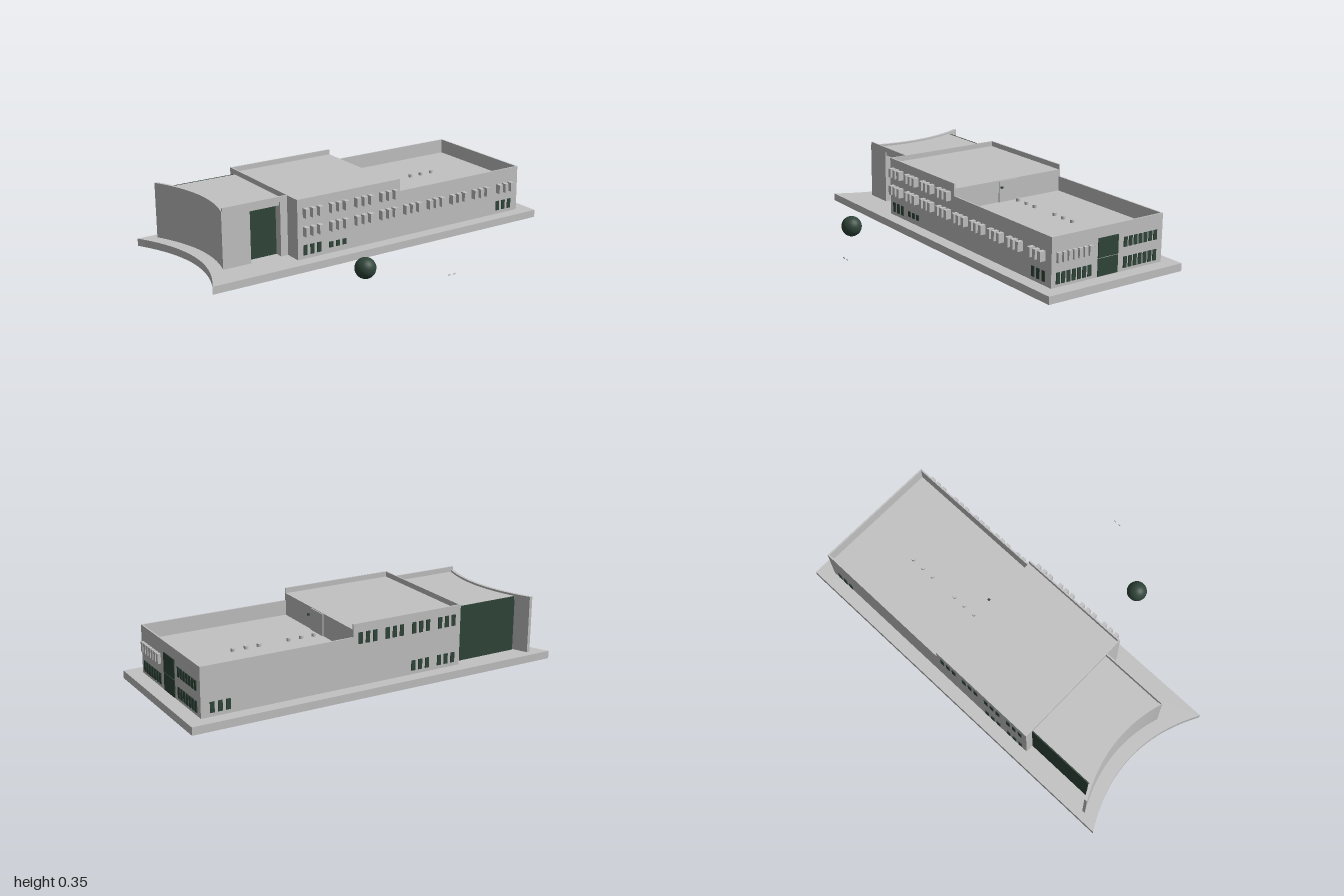
import * as THREE from 'three';

export function createModel() {
  const model = new THREE.Group();
  const concrete = new THREE.MeshStandardMaterial({ color: 0xc2c2c2 });
  concrete.name = 'pale concrete';
  const glass = new THREE.MeshStandardMaterial({ color: 0x30453a });
  glass.name = 'dark green glass';

  function add(name, geo, mat) {
    const mesh = new THREE.Mesh(geo, mat);
    mesh.name = name;
    model.add(mesh);
    return mesh;
  }
  // Box given by its extents on each axis
  function box(name, mat, x0, x1, y0, y1, z0, z1) {
    const mesh = add(name, new THREE.BoxGeometry(x1 - x0, y1 - y0, z1 - z0), mat);
    mesh.position.set((x0 + x1) / 2, (y0 + y1) / 2, (z0 + z1) / 2);
    return mesh;
  }
  // Curved line bulging towards +x, sampled along z
  function arc(x0, zA, zB) {
    const pts = [];
    for (let i = 0; i <= 20; i++) {
      const z = zA + ((zB - zA) * i) / 20;
      pts.push(new THREE.Vector2(x0 - 0.71 * (z + 0.245) ** 2, z));
    }
    return pts;
  }
  // Plan outline (x, z) raised between two heights
  function raise(name, mat, pts, y0, y1) {
    const geo = new THREE.ExtrudeGeometry(new THREE.Shape(pts), { depth: y1 - y0, bevelEnabled: false });
    geo.rotateX(Math.PI / 2);
    geo.translate(0, y1, 0);
    return add(name, geo, mat);
  }
  const V = (x, z) => new THREE.Vector2(x, z);

  // Base plate with a concave end
  raise('basePlate', concrete, [...arc(-0.877, -0.655, 0.155), V(1, 0.155), V(1, -0.655)], 0, 0.04);

  // Main building: lower hall and taller block
  const L = -0.48, M = 0.135, R = 0.925, F = 0.085, B = -0.588, T = 0.008;
  const base = 0.04, lowRoof = 0.21, lowTop = 0.287, highRoof = 0.325, highTop = 0.352;
  box('lowerHall', concrete, M, R, base, lowRoof, B, F);
  box('tallBlock', concrete, L, M, base, highRoof, B, F);
  box('lowerParapetFront', concrete, M, R, lowRoof, lowTop, F - T, F);
  box('lowerParapetBack', concrete, M, R, lowRoof, lowTop, B, B + T);
  box('lowerParapetEnd', concrete, R - T, R, lowRoof, lowTop, B + T, F - T);
  box('upperParapetFront', concrete, L, M, highRoof, highTop, F - T, F);
  box('upperParapetBack', concrete, L, M, highRoof, highTop, B, B + T);
  box('upperParapetEnd', concrete, L, L + T, highRoof, highTop, B + T, F - T);
  box('roofDoor', concrete, M, M + 0.006, lowRoof, 0.322, -0.31, -0.19);
  box('roofDoorLamp', glass, M + 0.015, M + 0.025, 0.287, 0.297, -0.2, -0.19);

  // Roof vents
  for (const x of [0.176, 0.246, 0.315, 0.476, 0.545, 0.615]) {
    const vent = add('roofVent', new THREE.CylinderGeometry(0.011, 0.011, 0.016, 16), concrete);
    vent.position.set(x, lowRoof + 0.008, -0.285);
  }

  // Entrance wing with the curved end wall
  const wingF = -0.01, wingB = -0.54;
  raise('curvedWall', concrete,
    [...arc(-0.806, -0.615, wingF), ...arc(-0.79, -0.615, wingF).reverse()], base, 0.335);
  raise('wingRoof', concrete, [...arc(-0.795, wingB, wingF - T), V(L, wingF - T), V(L, wingB)], 0.305, highRoof);
  raise('wingFrontWall', concrete,
    [V(-0.84, wingF), V(-0.69, wingF), V(-0.69, -0.055), V(-0.825, -0.055)], base, highRoof);
  box('wingPier', concrete, -0.52, L, base, highRoof, -0.055, wingF);
  box('wingFrontParapet', concrete, -0.84, L, highRoof, highTop, wingF - T, wingF);
  box('wingFrontGlass', glass, -0.69, -0.52, base, highRoof - 0.001, -0.063, -0.055);
  box('wingBackGlass', glass, -0.846, L, base, highRoof + 0.001, wingB - 0.006, wingB);

  // Front and back windows in groups of three
  const groups = [0, 1, 2, 3, 4, 5, 6, 7].map((i) => -0.449 + 0.151 * i).concat(0.778);
  const P = 0.004;
  groups.forEach((start, g) => {
    for (let i = 0; i < 3; i++) {
      const x0 = start + i * 0.04, x1 = x0 + 0.022;
      box('frontBay', concrete, x0, x1, 0.161, 0.21, F, F + 0.031);
      if (g < 4) {
        box('frontUpperBay', concrete, x0, x1, 0.257, 0.305, F, F + 0.031);
        box('backUpperWindow', glass, x0, x1, 0.25, 0.307, B - P, B);
      }
      if (g < 2 || g === 8) {
        box('frontGroundWindow', glass, x0, x1, g === 1 ? 0.07 : 0.06, g === 1 ? 0.1 : 0.112, F, F + P);
        box('backGroundWindow', glass, x0, x1, 0.06, 0.112, B - P, B);
      }
    }
  });

  // End facade: two rows of seven each side of the tall glazed door
  for (let i = 0; i < 7; i++) {
    const a = 0.058 - i * 0.031, b = -0.345 - i * 0.031, w = 0.021;
    box('endBay', concrete, R, R + 0.016, 0.161, 0.21, a - w, a);
    box('endUpperWindow', glass, R, R + P, 0.161, 0.21, b - w, b);
    box('endGroundWindow', glass, R, R + P, 0.056, 0.112, a - w, a);
    box('endGroundWindow', glass, R, R + P, 0.056, 0.112, b - w, b);
  }
  box('endDoorLower', glass, R, R + P, 0.043, 0.131, -0.31, -0.188);
  box('endDoorUpper', glass, R, R + P, 0.135, 0.232, -0.31, -0.188);

  // Round shrub and two tiny markers out in front
  const shrub = add('roundShrub', new THREE.SphereGeometry(0.053, 24, 16), glass);
  shrub.position.set(-0.312, 0.072, 0.425);
  for (const x of [0.01, 0.042]) box('groundMarker', concrete, x, x + 0.013, 0.034, 0.04, 0.653, 0.655);

  return model;
}
